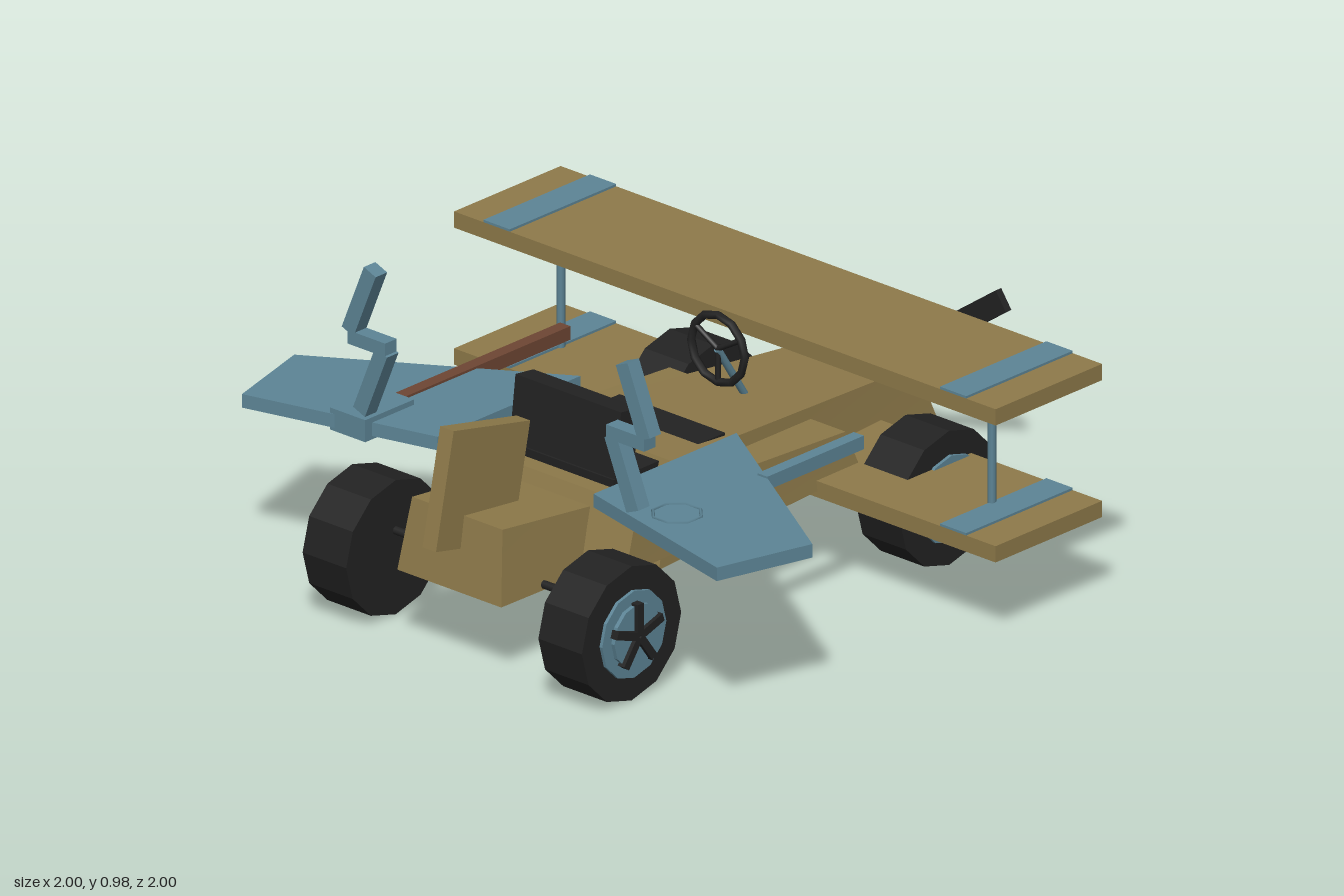
import * as THREE from 'three';

const material = (name, color) => {
  const m = new THREE.MeshStandardMaterial({ color });
  m.name = name;
  return m;
};

export function createModel() {
  const model = new THREE.Group();
  model.name = 'bladedRacer';
  const tan = material('tan', 0x8e7a4a);
  const blue = material('steelBlue', 0x5d8596);
  const black = material('black', 0x222222);
  const brown = material('brown', 0x6e4634);

  const add = (name, geometry, mat, x = 0, y = 0, z = 0, parent = model) => {
    const mesh = new THREE.Mesh(geometry, mat);
    mesh.name = name;
    mesh.position.set(x, y, z);
    parent.add(mesh);
    return mesh;
  };
  const box = (name, mat, size, pos, parent) =>
    add(name, new THREE.BoxGeometry(...size), mat, ...pos, parent);

  // Tapered block: each corner is [half width, y, z], mirrored in x
  const block = (name, mat, { lowNose, lowTail, topNose, topTail }) => {
    const g = new THREE.BoxGeometry(1, 1, 1);
    const p = g.attributes.position;
    for (let i = 0; i < p.count; i++) {
      const tail = p.getZ(i) > 0;
      const c = p.getY(i) > 0 ? (tail ? topTail : topNose) : (tail ? lowTail : lowNose);
      p.setXYZ(i, Math.sign(p.getX(i)) * c[0], c[1], c[2]);
    }
    g.computeVertexNormals();
    return add(name, g, mat);
  };

  // Rod between two points
  const rod = (name, mat, a, b, radius, parent = model) => {
    const from = new THREE.Vector3(...a), to = new THREE.Vector3(...b);
    const d = to.clone().sub(from);
    const mid = from.add(to).multiplyScalar(0.5);
    const m = add(name, new THREE.CylinderGeometry(radius, radius, d.length(), 8), mat, mid.x, mid.y, mid.z, parent);
    m.quaternion.setFromUnitVectors(new THREE.Vector3(0, 1, 0), d.normalize());
    return m;
  };

  // Bodywork
  block('fuselage', tan, {
    lowNose: [0.18, 0.2, -0.85], lowTail: [0.275, 0.2, 0.38],
    topNose: [0.155, 0.405, -0.775], topTail: [0.243, 0.482, 0.29],
  });
  block('sidePods', tan, {
    lowNose: [0.34, 0.275, -0.36], lowTail: [0.35, 0.275, 0.595],
    topNose: [0.325, 0.405, -0.31], topTail: [0.335, 0.45, 0.53],
  });
  block('tailBox', tan, {
    lowNose: [0.2, 0.235, 0.4], lowTail: [0.192, 0.235, 0.92],
    topNose: [0.175, 0.4, 0.45], topTail: [0.167, 0.447, 0.888],
  });
  const fin = box('tailFin', tan, [0.05, 0.342, 0.312], [0, 0.51, 0.812]);
  fin.rotation.x = -0.208;

  // Seat
  box('seatBase', black, [0.39, 0.03, 0.445], [0, 0.456, 0.252]);
  const seat = new THREE.Group();
  seat.name = 'seatBack';
  seat.position.set(0, 0.553, 0.422);
  seat.rotation.x = -0.12;
  model.add(seat);
  box('backrest', black, [0.39, 0.21, 0.072], [0, 0, 0], seat);
  box('backCushion', tan, [0.3, 0.155, 0.02], [0, 0.01, -0.045], seat);

  // Steering wheel and column
  const steering = new THREE.Group();
  steering.name = 'steeringWheel';
  steering.position.set(0, 0.605, -0.152);
  model.add(steering);
  add('steeringRim', new THREE.TorusGeometry(0.099, 0.012, 6, 12), black, 0, 0, 0, steering);
  for (let i = 0; i < 3; i++) {
    const a = -Math.PI / 2 + (i * Math.PI * 2) / 3;
    rod('steeringSpoke', black, [0, 0, 0], [Math.cos(a) * 0.1, Math.sin(a) * 0.1, 0], 0.008, steering);
  }
  rod('steeringColumn', blue, [0, 0.605, -0.15], [0, 0.42, -0.27], 0.011);

  // Biplane wings with bands and struts
  for (const y of [0.685, 0.281]) {
    box('mainWing', tan, [2, 0.048, 0.425], [0, y, -0.392]);
    for (const s of [-1, 1]) box('wingBand', blue, [0.097, 0.007, 0.425], [s * 0.843, y + 0.0275, -0.392]);
  }
  for (const s of [-1, 1]) rod('wingStrut', blue, [s * 0.796, 0.3, -0.385], [s * 0.796, 0.645, -0.385], 0.012);

  // Propeller
  const hub = add('propellerHub', new THREE.CylinderGeometry(0.073, 0.073, 0.12, 8), blue, 0, 0.368, -0.918);
  hub.rotation.x = Math.PI / 2;
  hub.material = blue;
  const nose = rod('propellerShaft', blue, [0, 0.368, -0.78], [0, 0.368, -0.86], 0.03);
  nose.visible = true;
  const propeller = box('propeller', black, [0.69, 0.065, 0.022], [0, 0.368, -0.987]);
  propeller.rotation.z = 0.615;

  // Swept side wings and zigzag blades
  for (const s of [-1, 1]) {
    const outline = [[0.288, 0.085], [0.957, 0.505], [0.877, 0.8], [0.288, 0.655]];
    const shape = new THREE.Shape(outline.map(([x, z]) => new THREE.Vector2(s * x, z)));
    const g = new THREE.ExtrudeGeometry(shape, { depth: 0.04, bevelEnabled: false });
    g.rotateX(Math.PI / 2);
    add('sweptWing', g, blue, 0, 0.515, 0);

    const zigzag = new THREE.Group();
    zigzag.name = 'zigzagBlade';
    zigzag.position.z = 0.712;
    model.add(zigzag);
    for (const [x, y] of [[0.506, 0.875], [0.464, 0.65]]) {
      const part = box('bladeBar', blue, [0.047, 0.215, 0.046], [s * x, y, 0], zigzag);
      part.rotation.z = s * 0.39;
    }
    box('bladeLink', blue, [0.14, 0.04, 0.046], [s * 0.478, 0.76, 0], zigzag);
  }

  // Rods mounted on the side wings
  box('blueBarrel', blue, [0.037, 0.04, 0.385], [0.545, 0.501, 0.067]);
  const ring = add('wingRing', new THREE.TorusGeometry(0.07, 0.006, 4, 8), blue, 0.545, 0.514, 0.6);
  ring.rotation.set(Math.PI / 2, 0, Math.PI / 8);
  box('brownBarrel', brown, [0.038, 0.04, 0.69], [-0.548, 0.502, 0.21]);
  box('barrelMount', blue, [0.13, 0.065, 0.195], [-0.55, 0.498, 0.634]);

  // Wheels, outer face along local +x
  for (const s of [-1, 1]) for (const z of [0.75, -0.517]) {
    const wheel = new THREE.Group();
    wheel.name = 'wheel';
    wheel.position.set(s * 0.435, 0.2, z);
    if (s < 0) wheel.rotation.y = Math.PI;
    model.add(wheel);
    const disc = (name, mat, radius, x0, x1, sides) => {
      const g = new THREE.CylinderGeometry(radius, radius, x1 - x0, sides).toNonIndexed();
      g.computeVertexNormals();
      g.rotateZ(Math.PI / 2);
      g.rotateX(Math.PI / 2);
      add(name, g, mat, (x0 + x1) / 2, 0, 0, wheel);
    };
    disc('tyre', black, 0.198, -0.08, 0.081, 12);
    disc('rim', blue, 0.128, 0.07, 0.091, 12);
    disc('hubPlate', blue, 0.092, 0.08, 0.103, 12);
    for (let i = 0; i < 5; i++) {
      const a = (i * Math.PI * 2) / 5;
      const spoke = box('wheelSpoke', black, [0.03, 0.092, 0.024],
        [0.1, Math.cos(a) * 0.05, Math.sin(a) * 0.05], wheel);
      spoke.rotation.x = a;
    }
  }
  // Axles hidden between the wheels
  for (const z of [0.75, -0.517]) rod('axle', black, [-0.38, 0.25, z], [0.38, 0.25, z], 0.012);

  return model;
}
